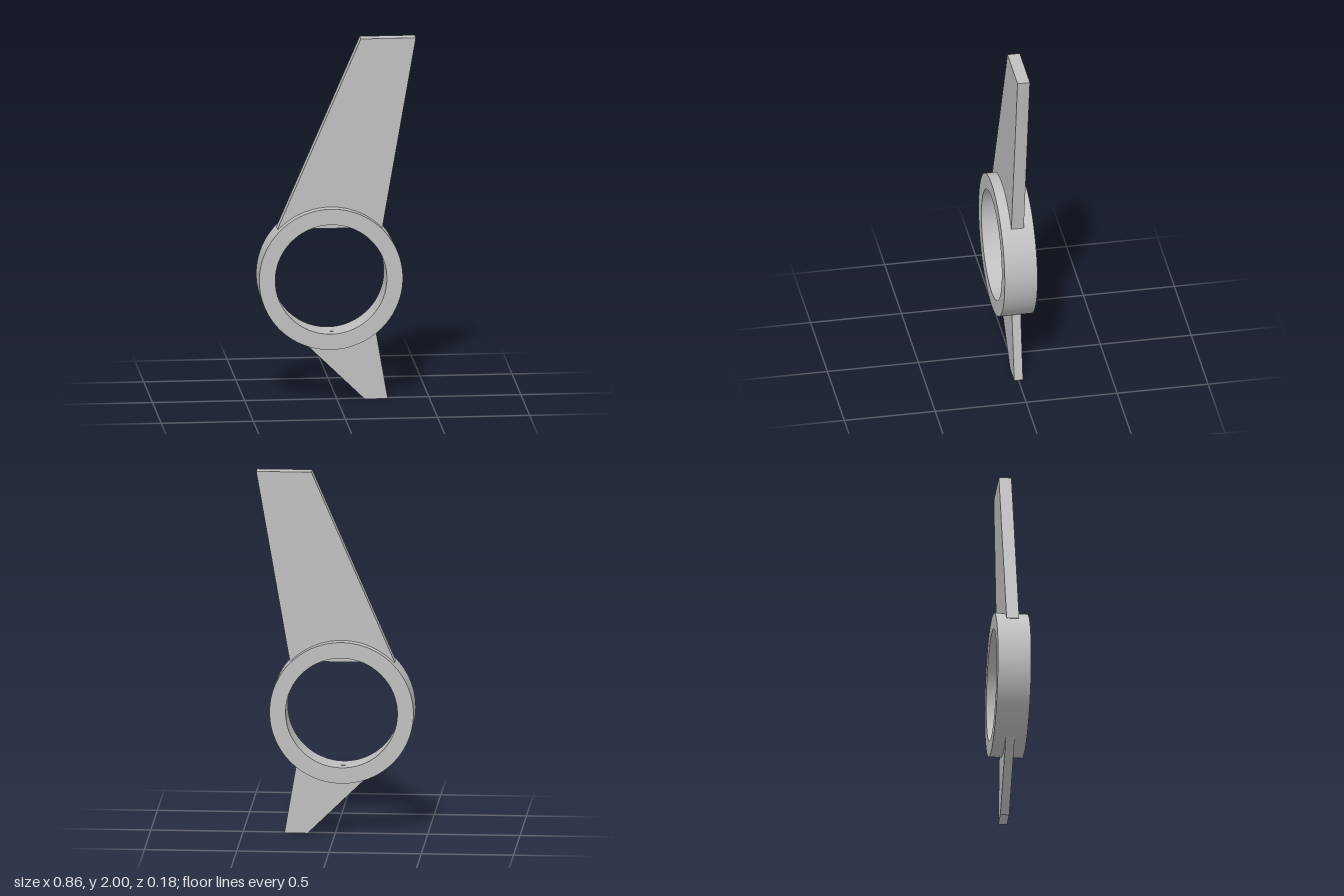
import * as THREE from 'three';
import { toCreasedNormals } from 'three/addons/utils/BufferGeometryUtils.js';

const grey = new THREE.MeshStandardMaterial({ color: 0xc0c0c0 });
grey.name = 'grey';

// Flat plate extruded evenly about z = 0
function plate(name, shape, depth, curveSegments = 1) {
  const extruded = new THREE.ExtrudeGeometry(shape, { depth, bevelEnabled: false, curveSegments });
  extruded.translate(0, 0, -depth / 2);
  const mesh = new THREE.Mesh(toCreasedNormals(extruded, Math.PI / 6), grey);
  mesh.name = name;
  return mesh;
}

function polygon(points) {
  return new THREE.Shape(points.map(([x, y]) => new THREE.Vector2(x, y)));
}

export function createModel() {
  const group = new THREE.Group();
  group.name = 'finnedRing';

  // Round collar with an open centre
  const ringShape = new THREE.Shape().absarc(0, 0, 0.39, 0, Math.PI * 2, false);
  ringShape.holes.push(new THREE.Path().absarc(0, 0, 0.303, 0, Math.PI * 2, true));
  const ring = plate('ring', ringShape, 0.18, 64);
  ring.position.set(-0.039, 0.682, 0);
  group.add(ring);

  // Tall swept fin, its root poking slightly into the opening
  group.add(plate('upperFin', polygon([[-0.325, 0.953], [0.245, 0.953], [0.427, 2], [0.128, 2]]), 0.068));

  // Short tapered fin below
  group.add(plate('lowerFin', polygon([[0.15, 0], [0.275, 0], [0.21, 0.38], [-0.24, 0.38]]), 0.048));

  return group;
}
